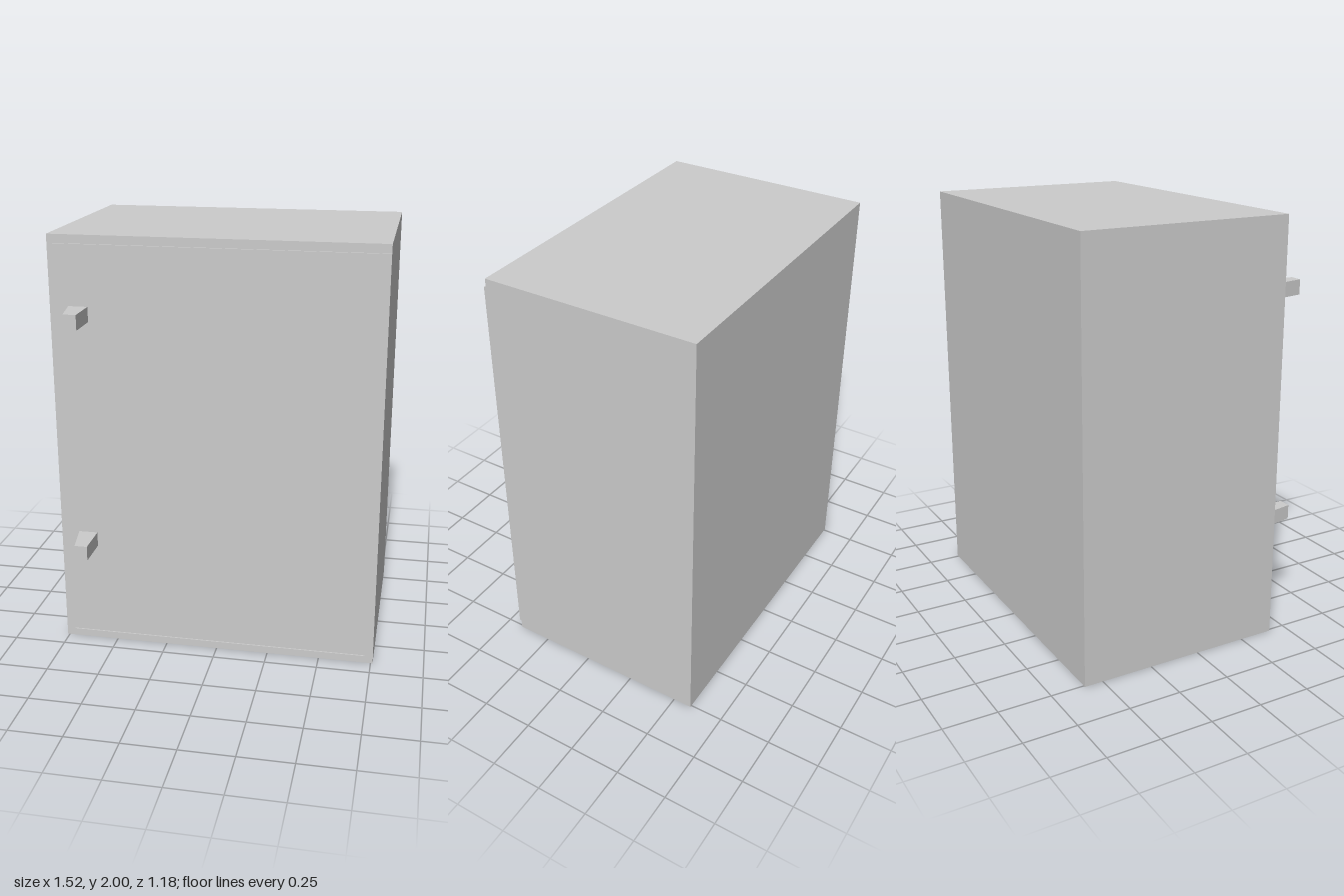
import * as THREE from 'three';

const material = new THREE.MeshStandardMaterial({ color: 0xcccccc, flatShading: true });

function add(parent, name, geometry, x = 0, y = 0, z = 0) {
  const mesh = new THREE.Mesh(geometry, material);
  mesh.name = name;
  mesh.position.set(x, y, z);
  parent.add(mesh);
  return mesh;
}

function polygon(points) {
  return new THREE.Shape(points.map(([x, y]) => new THREE.Vector2(x, y)));
}

function extrude(shape, depth) {
  return new THREE.ExtrudeGeometry(shape, { depth, bevelEnabled: false });
}

export function createModel() {
  const group = new THREE.Group();
  group.name = 'wallCabinet';
  const back = -0.59, front = 0.415, wall = 0.04, doorFront = 0.425;

  // Hollow carcass: four walls around the opening, closed by a back panel
  const frame = polygon([[-0.76, 0], [0.76, 0], [0.76, 2], [-0.76, 2]]);
  frame.holes.push(polygon([[-0.72, 0.035], [-0.72, 1.96], [0.72, 1.96], [0.72, 0.035]]));
  add(group, 'carcass', extrude(frame, front - back), 0, 0, back);
  add(group, 'backPanel', new THREE.BoxGeometry(1.44, 1.925, wall), 0, 0.9975, back + wall / 2);

  // Thin door, flush with the hinge side and leaving a sliver open at the bottom
  const door = new THREE.Group();
  door.name = 'door';
  group.add(door);
  add(door, 'doorPanel', new THREE.BoxGeometry(1.49, 1.915, doorFront - front),
    0.015, 1.0025, (front + doorFront) / 2);

  // Two tapered pulls, drawn in plan and extruded upward
  const pull = polygon([[-0.67, -doorFront], [-0.64, -0.59], [-0.58, -0.59], [-0.58, -doorFront]]);
  for (const [name, y] of [['lowerHandle', 0.505], ['upperHandle', 1.61]]) {
    const handle = add(door, name, extrude(pull, 0.07), 0, y, 0);
    handle.rotation.x = -Math.PI / 2;
  }
  return group;
}
